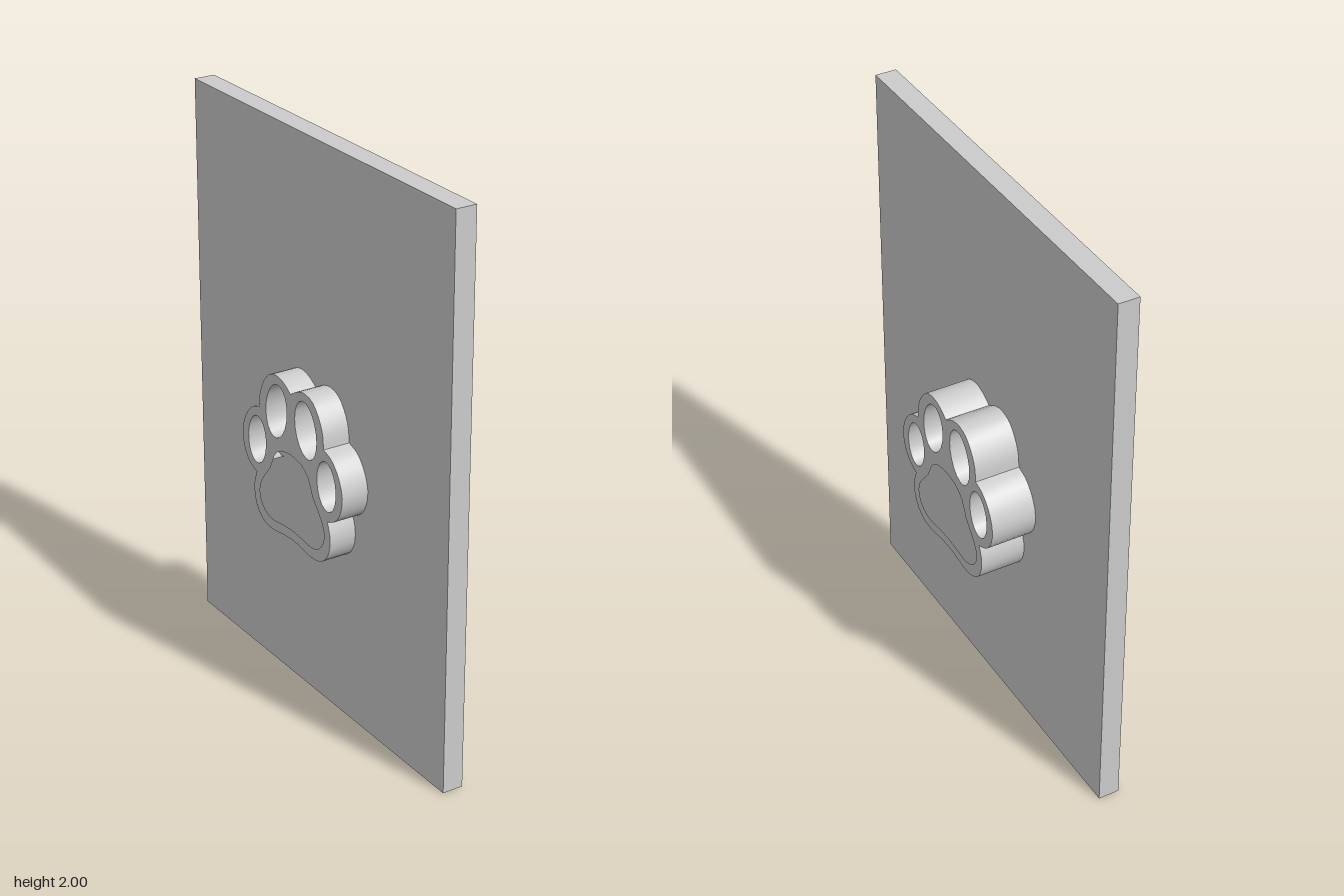
import * as THREE from 'three';
import { toCreasedNormals } from 'three/addons/utils/BufferGeometryUtils.js';

const material = new THREE.MeshStandardMaterial({ color: 0xcccccc });
const PLATE = [-0.07, 0.005]; // plate faces along x
const PAW = [-0.168, 0.165]; // paw rim ends along x

const points = (list) => list.map(([x, y]) => new THREE.Vector2(x, y));
const curve = (list, n) => new THREE.SplineCurve(points(list)).getPoints(n);

// Mirrors a half outline, running from top centre to bottom centre, into a closed loop
function mirrored(half) {
  const other = half.slice(1, -1).reverse().map((p) => new THREE.Vector2(-p.x, p.y));
  return [...half, ...other];
}

// Tilted oval toe opening
function toe(cx, cy, rx, ry, tilt) {
  const path = new THREE.Path();
  path.absellipse(cx, cy, rx, ry, 0, Math.PI * 2, false, tilt);
  return new THREE.Path(path.getPoints(10).slice(0, -1));
}

function pawShape() {
  // Outer outline: two toe lobes and the heel lobe, meeting in sharp notches
  const inner = curve([[0, 1.148], [0.037, 1.171], [0.084, 1.183], [0.135, 1.169], [0.172, 1.127], [0.193, 1.08], [0.198, 1.028]], 14);
  const outer = curve([[0.198, 1.028], [0.246, 1.01], [0.288, 0.963], [0.309, 0.9], [0.298, 0.841], [0.267, 0.799], [0.22, 0.778]], 14);
  const heel = curve([[0.22, 0.778], [0.235, 0.735], [0.234, 0.683], [0.209, 0.635], [0.166, 0.609], [0.115, 0.604], [0.056, 0.613], [0, 0.617]], 14);
  const shape = new THREE.Shape(mirrored([...inner, ...outer.slice(1), ...heel.slice(1)]));

  // Openings: heel pad and four toes
  const pad = curve([[0, 0.929], [0.057, 0.921], [0.103, 0.889], [0.13, 0.832], [0.167, 0.788], [0.197, 0.741], [0.197, 0.693], [0.167, 0.656], [0.119, 0.642], [0.06, 0.649], [0, 0.653]], 20);
  shape.holes.push(new THREE.Path(mirrored(pad)));
  for (const s of [-1, 1]) {
    shape.holes.push(toe(s * 0.09, 1.053, 0.064, 0.1, s * 0.2));
    shape.holes.push(toe(s * 0.214, 0.902, 0.056, 0.088, s * 0.08));
  }
  return shape;
}

// Paw rim raised between two x positions
function pawRim(name, x0, x1) {
  const geo = new THREE.ExtrudeGeometry(pawShape(), { depth: x1 - x0, bevelEnabled: false });
  geo.rotateY(Math.PI / 2);
  geo.translate(x0, 0, -0.003);
  const mesh = new THREE.Mesh(toCreasedNormals(geo, 0.6), material);
  mesh.name = name;
  return mesh;
}

export function createModel() {
  const model = new THREE.Group();
  model.name = 'pawPlate';

  // Upright flat plate
  const plate = new THREE.Mesh(new THREE.BoxGeometry(PLATE[1] - PLATE[0], 2, 1.51), material);
  plate.name = 'plate';
  plate.position.set((PLATE[0] + PLATE[1]) / 2, 1, 0);
  model.add(plate);

  // Rims on both faces, sunk slightly into the plate
  model.add(pawRim('leftPawRim', PLATE[1] - 0.01, PAW[1]));
  model.add(pawRim('rightPawRim', PAW[0], PLATE[0] + 0.01));
  return model;
}
